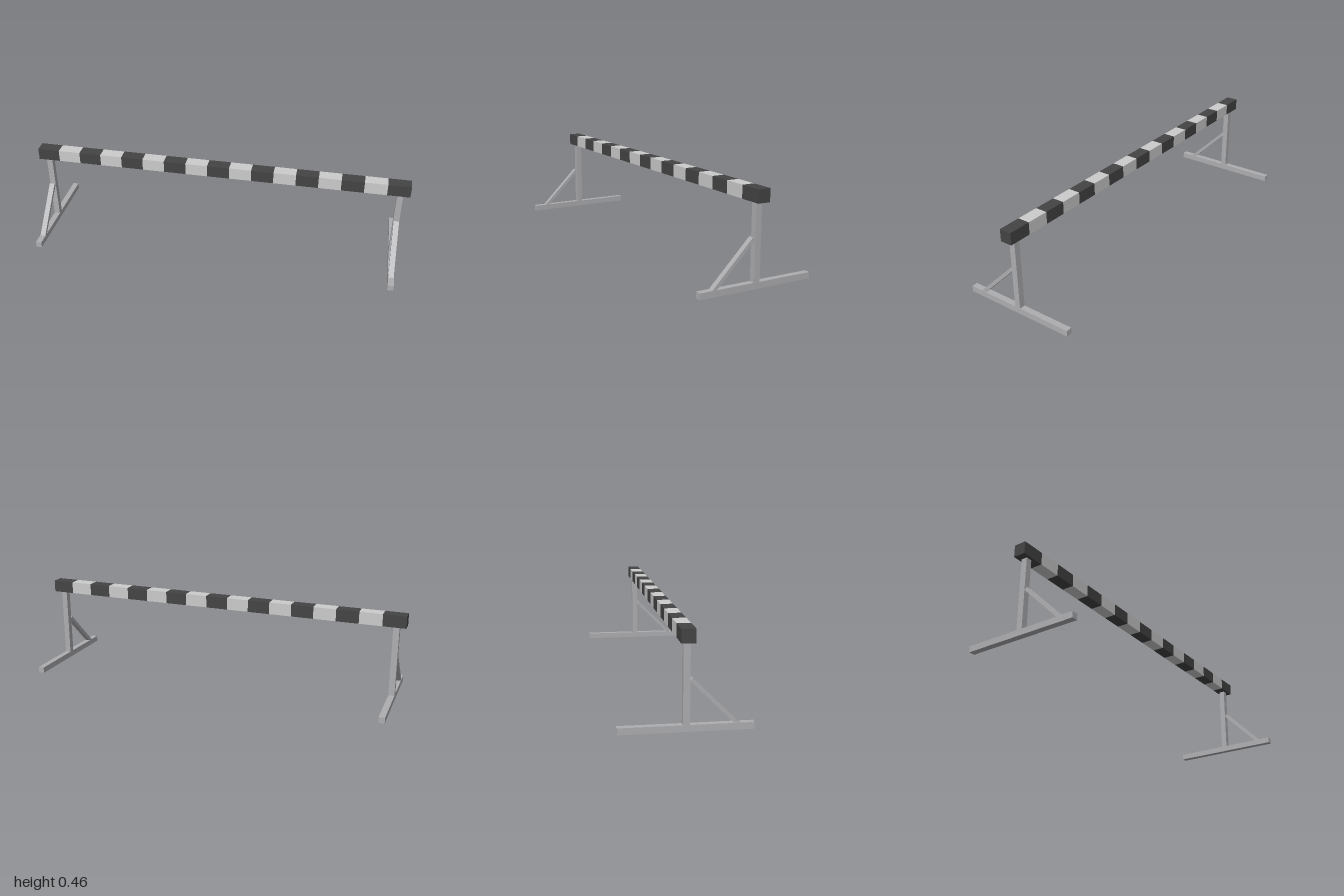
import * as THREE from 'three';

const light = new THREE.MeshStandardMaterial({ color: 0xcccccc });
const dark = new THREE.MeshStandardMaterial({ color: 0x444444 });
const steel = new THREE.MeshStandardMaterial({ color: 0xaeaeb1 });

function box(name, material, size, position) {
  const mesh = new THREE.Mesh(new THREE.BoxGeometry(...size), material);
  mesh.name = name;
  mesh.position.set(...position);
  return mesh;
}

// One end support: floor rail, upright post and diagonal brace at the front
function createStand(name, x) {
  const stand = new THREE.Group();
  stand.name = name;
  stand.position.x = x;
  const t = 0.031;
  stand.add(box('floorRail', steel, [t, t, 0.604], [0, t / 2, 0]));
  stand.add(box('post', steel, [t, 0.4 - t, t], [0, (0.4 + t) / 2, 0]));

  const brace = box('brace', steel, [0.028, 0.31, 0.018], [0, 0.125, 0.13]);
  brace.rotation.x = -Math.PI / 4;
  stand.add(brace);
  return stand;
}

export function createModel() {
  const model = new THREE.Group();
  model.name = 'barrier';

  // Crossbar made of alternating blocks, dark at both ends
  const bar = new THREE.Group();
  bar.name = 'crossbar';
  const count = 17;
  const length = 2 / count;
  const depth = 0.063;
  for (let i = 0; i < count; i++) {
    const isDark = i % 2 === 0;
    bar.add(box(isDark ? 'darkStripe' : 'lightStripe', isDark ? dark : light,
      [length, depth, depth], [-1 + (i + 0.5) * length, 0.4 + depth / 2, 0]));
  }
  model.add(bar);

  model.add(createStand('leftStand', 0.95), createStand('rightStand', -0.95));
  return model;
}
